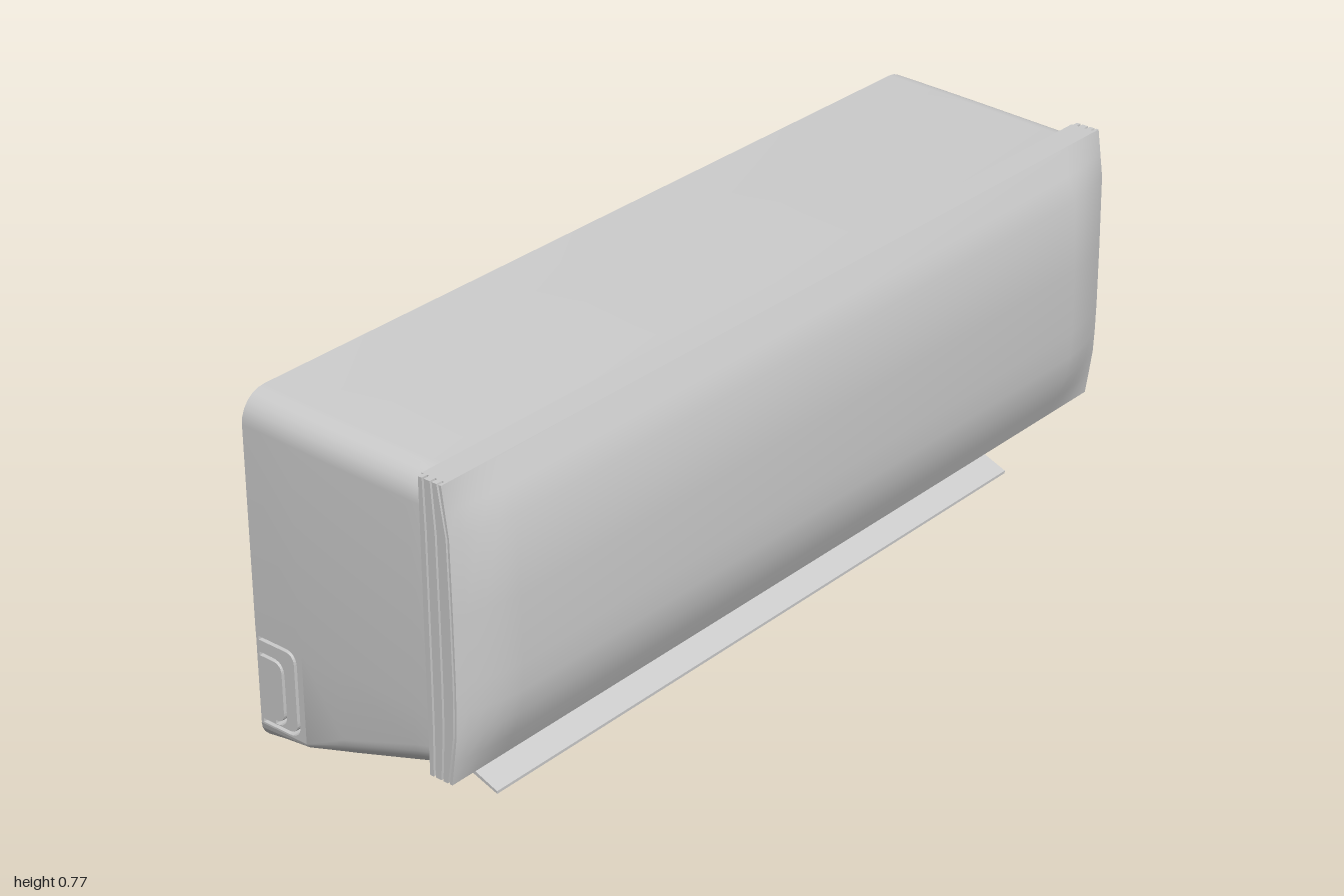
import * as THREE from 'three';
import { toCreasedNormals } from 'three/addons/utils/BufferGeometryUtils.js';

const grey = new THREE.MeshStandardMaterial({ color: 0xcccccc });
const greyThin = new THREE.MeshStandardMaterial({ color: 0xcccccc, side: THREE.DoubleSide });
const dark = new THREE.MeshStandardMaterial({ color: 0x444444 });

function add(parent, name, geometry, material = grey) {
  const mesh = new THREE.Mesh(geometry, material);
  mesh.name = name;
  parent.add(mesh);
  return mesh;
}

// Side profile in (z, y), extruded across x from x0 to x1
function acrossX(shape, x0, x1) {
  const g = new THREE.ExtrudeGeometry(shape, { depth: x1 - x0, bevelEnabled: false, curveSegments: 6 });
  return g.rotateY(-Math.PI / 2).translate(x1, 0, 0);
}

function polygon(points) {
  return new THREE.Shape(points.map(([z, y]) => new THREE.Vector2(z, y)));
}

function indexed(pos, index, crease) {
  const g = new THREE.BufferGeometry();
  g.setAttribute('position', new THREE.Float32BufferAttribute(pos, 3));
  g.setIndex(index);
  return toCreasedNormals(g, crease);
}

// Rounded cross-section of the casing, counter-clockwise from the bottom right
const HALF = 16, ARC = 6, SPLIT = 0.275;
function section({ z, w, bottom, low, top, r }) {
  const half = [[0.81, bottom]];
  for (let i = 0; i <= ARC; i++) {
    const a = (i / ARC) * Math.PI / 2;
    half.push([w - r + r * Math.sin(a), low - (low - bottom) * Math.cos(a)]);
  }
  half.push([w, SPLIT]);
  for (let i = 0; i <= ARC; i++) {
    const a = (i / ARC) * Math.PI / 2;
    half.push([w - r + r * Math.cos(a), top - r + r * Math.sin(a)]);
  }
  const mirrored = half.map(([x, y]) => [-x, y]).reverse();
  return [...half, ...mirrored].map(([x, y]) => [x, y, z]);
}

// Casing: runs from the recess floor out to the rear rim, then forward outside
const RINGS = [
  { z: -0.11, w: 0.97, bottom: 0.082, low: 0.11, top: 0.745, r: 0.045 },
  { z: -0.155, w: 0.97, bottom: 0.072, low: 0.075, top: 0.746, r: 0.045 },
  { z: -0.275, w: 0.97, bottom: 0.05, low: 0.075, top: 0.748, r: 0.045 },
  { z: -0.275, w: 0.996, bottom: 0.027, low: 0.075, top: 0.772, r: 0.06 },
  { z: -0.155, w: 0.996, bottom: 0.053, low: 0.075, top: 0.769, r: 0.06 },
  { z: -0.055, w: 0.996, bottom: 0.076, low: 0.125, top: 0.766, r: 0.06 },
  { z: 0.13, w: 0.993, bottom: 0.134, low: 0.19, top: 0.761, r: 0.06 },
  { z: 0.167, w: 0.992, bottom: 0.146, low: 0.2, top: 0.76, r: 0.06 },
];
function casingGeometry() {
  const n = HALF * 2, index = [];
  for (let j = 0; j < RINGS.length - 1; j++) {
    for (let i = 0; i < n; i++) {
      const sideGap = (j === 1 || j === 3) && (i === 7 || i === 23);
      const outlet = j === 5 && i === n - 1;
      if (sideGap || outlet) continue;
      const a = j * n + i, b = j * n + (i + 1) % n, c = b + n, d = a + n;
      index.push(a, b, c, a, c, d);
    }
  }
  // Front cap
  const last = (RINGS.length - 1) * n;
  for (let i = 1; i < n - 1; i++) index.push(last, last + i, last + i + 1);
  return indexed(RINGS.flatMap(section).flat(), index, 0.55);
}

// Wall closing the rear recess
function recessWall() {
  const index = [];
  for (let i = 1; i < HALF * 2 - 1; i++) index.push(0, i + 1, i);
  return indexed(section(RINGS[0]).flat(), index, 0.5);
}

// C-shaped slot opening toward the rear
function slot(front, top, bottom, lowerEnd) {
  const p = new THREE.Path(), r = 0.03, w = 0.008, rear = -0.268;
  p.moveTo(rear, top);
  p.lineTo(front - r, top);
  p.quadraticCurveTo(front, top, front, top - r);
  p.lineTo(front, bottom + r);
  p.quadraticCurveTo(front, bottom, front - r, bottom);
  p.lineTo(lowerEnd, bottom);
  p.lineTo(lowerEnd, bottom + w);
  p.lineTo(front - r, bottom + w);
  p.quadraticCurveTo(front - w, bottom + w, front - w, bottom + r);
  p.lineTo(front - w, top - r);
  p.quadraticCurveTo(front - w, top - w, front - r, top - w);
  p.lineTo(rear, top - w);
  p.closePath();
  return p;
}

function slottedSide() {
  const s = polygon([[-0.2745, 0.075], [-0.155, 0.075], [-0.155, SPLIT], [-0.2745, SPLIT]]);
  s.holes.push(slot(-0.169, 0.268, 0.079, -0.268), slot(-0.204, 0.234, 0.088, -0.235));
  return s;
}

// Front plates: a gridded box with bowed front and back faces
const YS = [0.145, 0.195, 0.25, 0.3, 0.36, 0.5, 0.66, 0.71, 0.763];
const BOW = [0, 0.41, 0.82, 0.94, 1, 0.96, 0.82, 0.42, 0];
const XS = [-1, -0.975, -0.94, -0.9, -0.86, 0, 0.86, 0.9, 0.94, 0.975, 1];
const TAPER = [0.34, 0.5, 0.72, 0.9, 1, 1, 1, 0.9, 0.72, 0.5, 0.34];
function plate(back, backBow, front, frontBow, { tapered = false, width = 1 } = {}) {
  const nx = XS.length - 1, ny = YS.length - 1;
  const g = new THREE.BoxGeometry(1, 1, 1, nx, ny, 1);
  const p = g.attributes.position;
  for (let i = 0; i < p.count; i++) {
    const ix = Math.round((p.getX(i) + 0.5) * nx), iy = Math.round((p.getY(i) + 0.5) * ny);
    const isFront = p.getZ(i) > 0;
    const bow = BOW[iy] * (isFront && tapered ? TAPER[ix] : 1);
    p.setXYZ(i, XS[ix] * width, YS[iy], isFront ? front + frontBow * bow : back + backBow * bow);
  }
  return toCreasedNormals(g, 0.7);
}

export function createModel() {
  const model = new THREE.Group();
  model.name = 'wallAirConditioner';

  // Casing with slotted knock-out panels at the rear of both sides
  add(model, 'casing', casingGeometry());
  add(model, 'recessWall', recessWall(), dark);
  add(model, 'leftSlottedPanel', acrossX(slottedSide(), 0.97, 0.996));
  add(model, 'rightSlottedPanel', acrossX(slottedSide(), -0.996, -0.97));

  // Front panel: solid core with layered plates that leave grooves in the ends
  const front = new THREE.Group();
  front.name = 'frontPanel';
  model.add(front);
  add(front, 'panelCore', plate(0.166, 0, 0.223, 0.02, { width: 0.986 }));
  add(front, 'rearPlate', plate(0.17, 0, 0.179, 0.003));
  add(front, 'middlePlate', plate(0.184, 0.003, 0.198, 0.009));
  add(front, 'innerPlate', plate(0.203, 0.009, 0.214, 0.021));
  add(front, 'frontCover', plate(0.219, 0.02, 0.225, 0.053, { tapered: true }));

  // Air outlet: duct, end walls, centre block and guide bars
  const outlet = new THREE.Group();
  outlet.name = 'airOutlet';
  model.add(outlet);
  const duct = [[-0.055, 0.076], [-0.04, 0.15], [0, 0.2], [0.09, 0.2], [0.13, 0.134]];
  const ductPos = [], ductIndex = [];
  duct.forEach(([z, y], i) => {
    ductPos.push(-0.81, y, z, 0.81, y, z);
    const a = i * 2;
    if (i) ductIndex.push(a - 2, a - 1, a + 1, a - 2, a + 1, a);
  });
  add(outlet, 'duct', indexed(ductPos, ductIndex, 0.3), greyThin);
  add(outlet, 'centreBlock', acrossX(polygon(duct), -0.1, 0.1));
  for (const side of [-1, 1]) {
    add(outlet, 'endWall', acrossX(polygon(duct), side * 0.812 - 0.004, side * 0.812 + 0.004));
    for (const [z, y] of [[0.08, 0.132], [0.015, 0.107]]) {
      const bar = add(outlet, 'guideBar', new THREE.BoxGeometry(0.71, 0.014, 0.02));
      bar.position.set(side * 0.455, y, z);
    }
  }

  // Swing flap, the lip joining it to the casing, and its hinge brackets
  add(model, 'flap', acrossX(polygon([[0.155, 0], [0.155, 0.006], [0, 0.067], [-0.002, 0.056]]), -0.81, 0.81));
  add(model, 'flapLip', acrossX(polygon([[0, 0.056], [0.003, 0.066], [-0.05, 0.088], [-0.056, 0.077]]), -0.81, 0.81));
  const bracket = polygon([[0.022, 0.102], [0.002, 0.055], [-0.055, 0.078], [-0.04, 0.11]]);
  for (const x of [-0.805, -0.52, -0.28, -0.1, -0.012, 0.012, 0.1, 0.28, 0.52, 0.805]) {
    add(model, 'flapBracket', acrossX(bracket, x - 0.005, x + 0.005));
  }
  return model;
}
